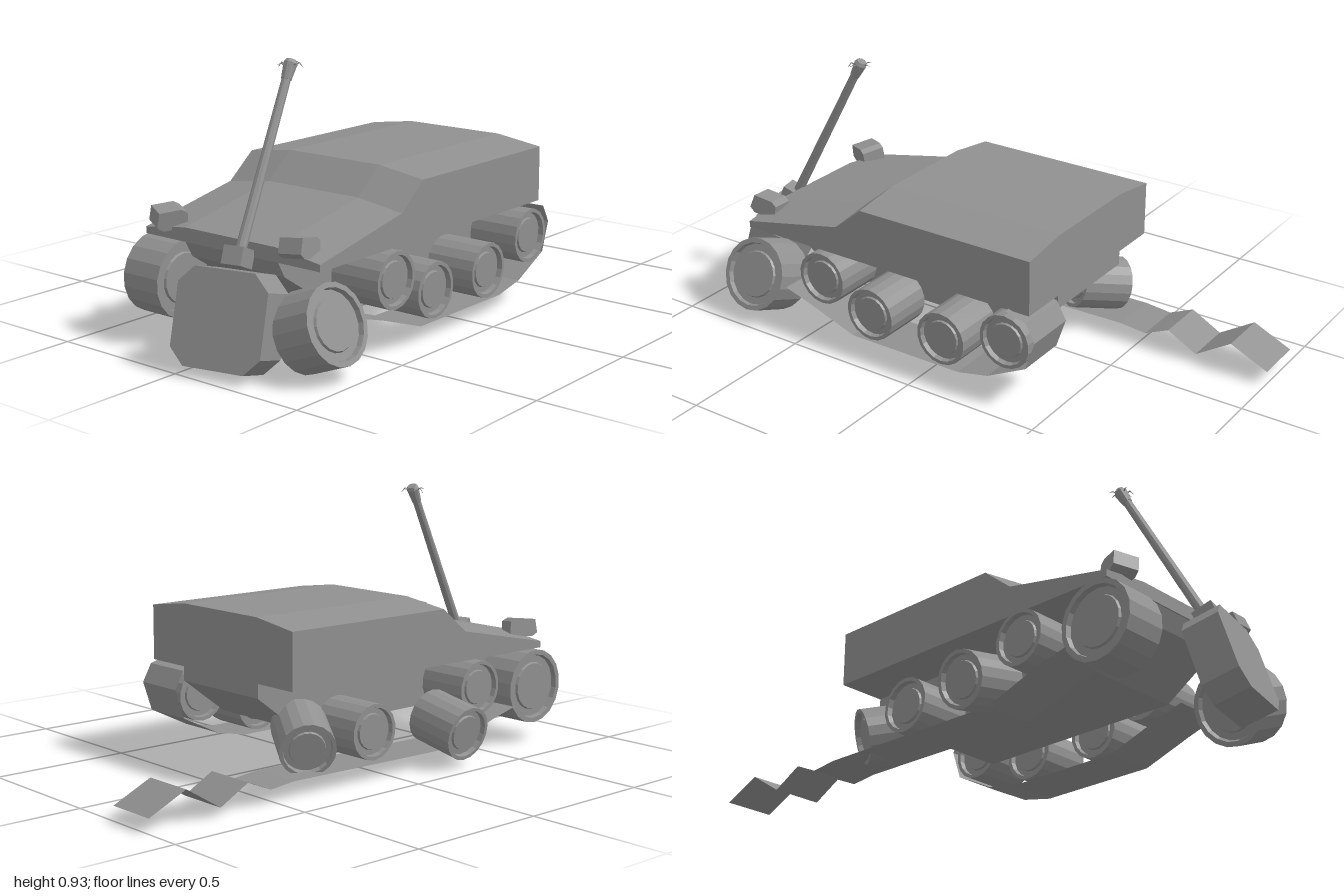
import * as THREE from 'three';

const paint = new THREE.MeshStandardMaterial({ color: 0x909090, flatShading: true });
const paintSheet = new THREE.MeshStandardMaterial({ color: 0x909090, flatShading: true, side: THREE.DoubleSide });
const V = (x, y, z) => new THREE.Vector3(x, y, z);
const UP = V(0, 1, 0);

function mesh(name, geometry, material = paint) {
  const m = new THREE.Mesh(geometry, material);
  m.name = name;
  return m;
}

function geometryFrom(positions) {
  const g = new THREE.BufferGeometry();
  g.setAttribute('position', new THREE.Float32BufferAttribute(positions, 3));
  g.computeVertexNormals();
  return g;
}

// Skin over cross-sections that follow each other along +x, capped at both ends
function loft(sections) {
  const pos = [];
  const tri = (a, b, c) => pos.push(...a, ...b, ...c);
  const n = sections[0].length;
  for (let i = 0; i < sections.length - 1; i++) {
    const A = sections[i], B = sections[i + 1];
    for (let k = 0; k < n; k++) {
      const j = (k + 1) % n;
      tri(A[k], B[k], B[j]);
      tri(A[k], B[j], A[j]);
    }
  }
  const S = sections[0], E = sections[sections.length - 1];
  for (let k = 1; k < n - 1; k++) {
    tri(S[0], S[k], S[k + 1]);
    tri(E[0], E[k + 1], E[k]);
  }
  return geometryFrom(pos);
}

function extrude(points, depth) {
  const shape = new THREE.Shape(points.map(([x, y]) => new THREE.Vector2(x, y)));
  const g = new THREE.ExtrudeGeometry(shape, { depth, bevelEnabled: false });
  return g.translate(0, 0, -depth / 2);
}

// Wheel with a rim lip, a recessed ring and a raised hub on both faces
function wheel(name, r, width, centre, axis = V(0, 0, 1)) {
  const h = width / 2;
  const half = [[r, h], [r * 0.87, h], [r * 0.84, h - 0.018], [r * 0.65, h - 0.018], [r * 0.62, h - 0.01], [0, h - 0.01]];
  const lower = half.map(([x, y]) => new THREE.Vector2(x, -y)).reverse();
  const upper = half.map(([x, y]) => new THREE.Vector2(x, y));
  const m = mesh(name, new THREE.LatheGeometry([...lower, ...upper], 18));
  m.quaternion.setFromUnitVectors(UP, axis.clone().normalize());
  m.position.copy(centre);
  return m;
}

// Thin belt: an x-y path swept across z
function belt(name, path, z0, z1) {
  const pos = [];
  for (let i = 0; i < path.length - 1; i++) {
    const [x0, y0] = path[i], [x1, y1] = path[i + 1];
    pos.push(x0, y0, z0, x0, y0, z1, x1, y1, z1, x0, y0, z0, x1, y1, z1, x1, y1, z0);
  }
  return mesh(name, geometryFrom(pos), paintSheet);
}

function rod(name, a, b, rStart, rEnd, sides = 10) {
  const d = b.clone().sub(a);
  const m = mesh(name, new THREE.CylinderGeometry(rEnd, rStart, d.length(), sides));
  m.quaternion.setFromUnitVectors(UP, d.normalize());
  m.position.copy(a).add(b).multiplyScalar(0.5);
  return m;
}

export function createModel() {
  const model = new THREE.Group();
  model.name = 'wreckedTrackedVehicle';

  // Upper hull with a stepped nose and a roof bevelled at the sides
  const stations = [[-0.775, 0.393], [-0.375, 0.475], [-0.265, 0.565], [0.42, 0.565]];
  model.add(mesh('upperHull', loft(stations.map(([x, y]) => [
    [x, 0.345, 0.4], [x, y - 0.025, 0.4], [x, y, 0.22],
    [x, y, -0.17], [x, y - 0.025, -0.35], [x, 0.345, -0.35],
  ]))));

  // Narrow lower hull between the tracks
  const lower = mesh('lowerHull', extrude(
    [[-0.77, 0.345], [-0.74, 0.29], [-0.55, 0.165], [0.25, 0.165], [0.42, 0.295], [0.42, 0.345]], 0.4));
  lower.position.z = 0.025;
  model.add(lower);

  // Road wheels still in place
  const r = 0.096, w = 0.19;
  for (const [x, y] of [[-0.43, 0.245], [-0.22, 0.165], [0.08, 0.165], [0.337, 0.235]])
    model.add(wheel('roadWheelNear', r, w, V(x, y, 0.327)));
  for (const [x, y] of [[-0.43, 0.245], [0.08, 0.165]])
    model.add(wheel('roadWheelFar', r, w, V(x, y, -0.277)));

  // Road wheels knocked loose
  model.add(wheel('looseRoadWheel', r, w, V(-0.27, 0.138, -0.374), V(0, -0.19, -0.98)));
  model.add(wheel('looseRearWheel', r, w, V(0.288, 0.158, -0.248), V(0.5, -0.25, -0.83)));

  // Drive wheels, the near one leaning
  model.add(wheel('driveWheelFar', 0.135, 0.155, V(-0.735, 0.207, -0.285)));
  model.add(wheel('driveWheelNear', 0.132, 0.15, V(-0.738, 0.153, 0.367), V(0, 0.37, 0.93)));

  // Near track wraps the rear wheel; far track lies unrolled behind
  model.add(belt('nearTrack', [[-0.6, 0.16], [-0.5, 0.13], [-0.3, 0.06], [0.15, 0.06], [0.27, 0.085],
    [0.42, 0.16], [0.455, 0.265], [0.42, 0.328], [0.34, 0.35]], 0.23, 0.42));
  model.add(belt('farTrack', [[-0.62, 0.15], [-0.5, 0.12], [-0.3, 0.05], [0.1, 0.055], [0.43, 0.06],
    [0.53, 0.05], [0.62, 0.09], [0.73, 0.03], [0.86, 0.112], [1.0, 0.048]], -0.37, -0.185));

  // Eight-sided gun mount hanging off the nose
  const a = 0.16, b = 0.155, c = 0.053;
  const octagon = [[-a, -b + c], [-a + c, -b], [a - c, -b], [a, -b + c], [a, b - c], [a - c, b], [-a + c, b], [-a, b - c]];
  const mount = mesh('gunMount', extrude(octagon, 0.13).rotateY(Math.PI / 2));
  mount.rotation.set(0, 0.22, -0.28);
  mount.position.set(-0.88, 0.166, 0.12);
  model.add(mount);

  // Barrel with a socket, a swollen muzzle and frayed splinters
  const base = V(-0.8, 0.375, 0.1), tip = V(-0.516, 0.915, 0.06);
  const along = (t) => base.clone().lerp(tip, t);
  const barrel = new THREE.Group();
  barrel.name = 'barrel';
  barrel.add(rod('barrelTube', base, along(0.93), 0.018, 0.015));
  barrel.add(rod('muzzle', along(0.91), tip, 0.017, 0.023));
  barrel.add(rod('muzzleTip', tip, along(1.02), 0.023, 0.017));
  for (let i = 0; i < 7; i++) {
    const t = (i / 7) * Math.PI * 2;
    const root = along(0.99).add(V(Math.cos(t) * 0.016, 0, Math.sin(t) * 0.016));
    const bend = root.clone().add(V(Math.cos(t) * 0.014, 0.008, Math.sin(t) * 0.014));
    const end = bend.clone().add(V(Math.cos(t) * 0.012, i % 2 ? -0.016 : -0.004, Math.sin(t) * 0.012));
    barrel.add(rod('splinter', root, bend, 0.003, 0.002, 5), rod('splinterEnd', bend, end, 0.002, 0.0008, 5));
  }
  model.add(barrel);
  const socket = mesh('barrelSocket', new THREE.BoxGeometry(0.075, 0.06, 0.07));
  socket.position.set(-0.82, 0.352, 0.105);
  socket.rotation.set(0, 0.22, -0.4);
  model.add(socket);

  // Lamp housings on the nose, knocked askew
  const lamp = [[-0.055, -0.018], [-0.035, -0.033], [0.05, -0.033], [0.05, 0.018], [0.03, 0.031], [-0.045, 0.031]];
  for (const [x, y, z, rx, ry, rz] of [[-0.755, 0.413, -0.262, 0.15, -0.45, 0.15], [-0.758, 0.404, 0.305, -0.1, 0.12, -0.15]]) {
    const m = mesh('lampHousing', extrude(lamp, 0.085));
    m.position.set(x, y, z);
    m.rotation.set(rx, ry, rz);
    model.add(m);
  }
  return model;
}
